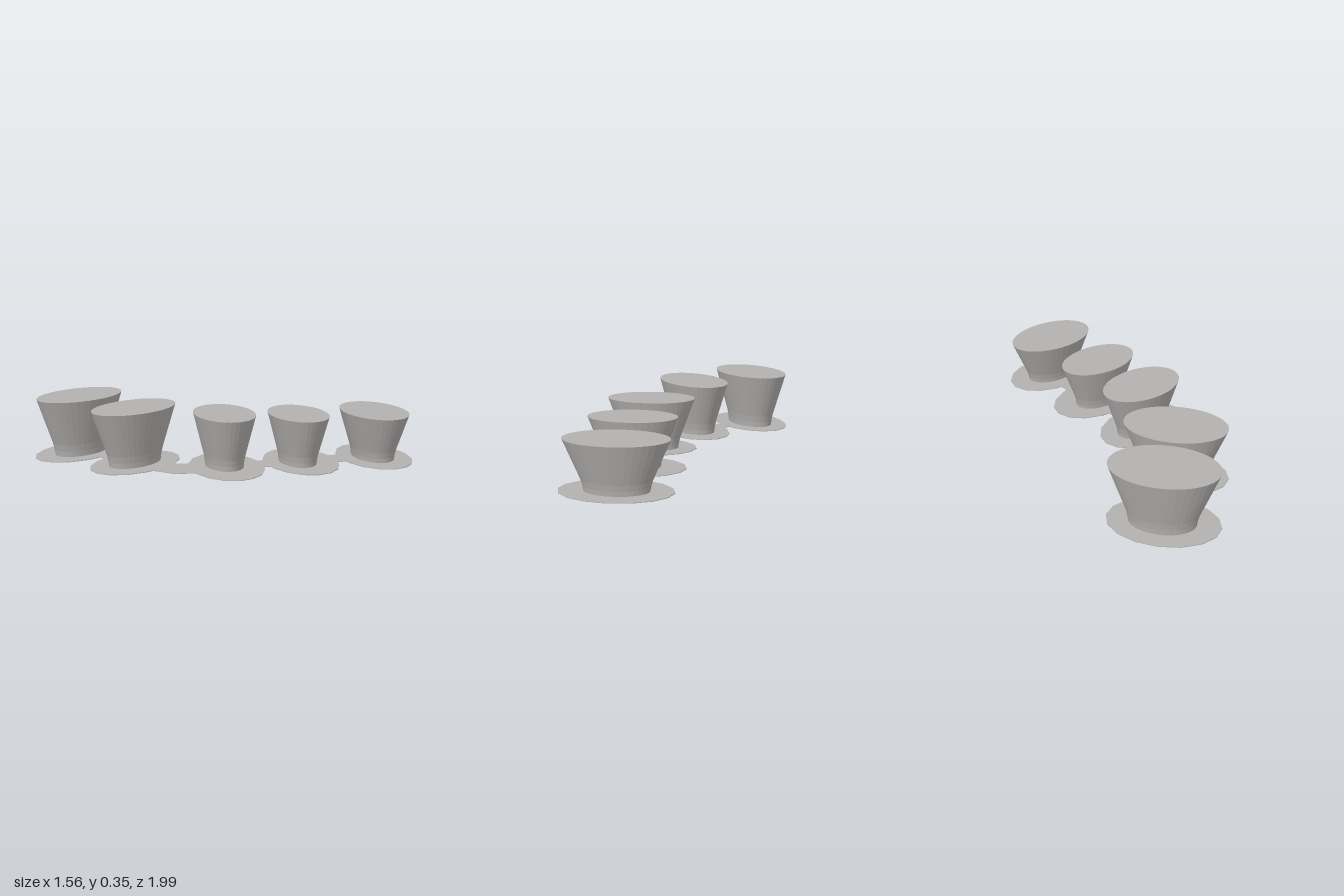
import * as THREE from 'three';

const PLATE = 0.004;

export function createModel() {
  const model = new THREE.Group();
  model.name = 'steppingPlanters';
  const grey = new THREE.MeshStandardMaterial({ color: 0xb3b1af, flatShading: true });
  grey.name = 'warm grey';

  const add = (name, geometry) => {
    const mesh = new THREE.Mesh(geometry, grey);
    mesh.name = name;
    model.add(mesh);
    return mesh;
  };

  // Flared oval pedestals: centre, half length, half width, height, turn
  const turn = THREE.MathUtils.degToRad(52);
  const pedestals = [
    { x: -0.457, z: -0.785, a: 0.301, b: 0.198, h: 0.355, turn: 0 },
    { x: -0.457, z: -0.334, a: 0.296, b: 0.191, h: 0.335, turn: 0 },
    { x: -0.187, z: 0.122, a: 0.267, b: 0.176, h: 0.312, turn },
    { x: 0.142, z: 0.416, a: 0.26, b: 0.171, h: 0.293, turn },
    { x: 0.525, z: 0.705, a: 0.288, b: 0.19, h: 0.284, turn },
  ];
  // Unit profile: steep foot, then a straight flare to a flat top
  const profile = [[0, 0], [0.62, 0], [0.635, 0.1], [0.67, 0.22], [1, 1], [0, 1]]
    .map(([r, y]) => new THREE.Vector2(r, y));
  const body = new THREE.LatheGeometry(profile, 40);
  for (const p of pedestals) {
    const mesh = add('pedestal', body);
    mesh.position.set(p.x, PLATE / 2, p.z);
    mesh.rotation.y = p.turn;
    mesh.scale.set(p.a, p.h - PLATE / 2, p.b);
  }

  // Thin faceted oval discs under the pedestals
  const disc = new THREE.CylinderGeometry(1, 1, PLATE, 16);
  const discs = [
    [-0.464, -0.788, 0], [-0.459, -0.328, 0],
    [-0.206, 0.151, turn], [0.156, 0.429, turn], [0.527, 0.711, turn],
  ];
  for (const [x, z, angle] of discs) {
    const mesh = add('baseDisc', disc);
    mesh.position.set(x, PLATE / 2, z);
    mesh.rotation.y = angle;
    mesh.scale.set(0.314, 1, 0.214);
  }

  // Flat links joining neighbouring discs, outlined in x and z
  const links = [
    [[-0.505, -0.62], [-0.395, -0.62], [-0.395, -0.5], [-0.505, -0.5]],
    [[-0.54, -0.16], [-0.51, 0.02], [-0.41, 0.12], [-0.25, 0], [-0.3, -0.053], [-0.36, -0.16]],
    [[-0.1, 0.32], [-0.02, 0.39], [0.06, 0.27], [-0.02, 0.2]],
    [[0.25, 0.59], [0.34, 0.66], [0.44, 0.54], [0.35, 0.475]],
  ];
  for (const outline of links) {
    const shape = new THREE.Shape(outline.map(([x, z]) => new THREE.Vector2(x, -z)));
    const geometry = new THREE.ExtrudeGeometry(shape, { depth: PLATE, bevelEnabled: false });
    add('baseLink', geometry.rotateX(-Math.PI / 2));
  }

  return model;
}
